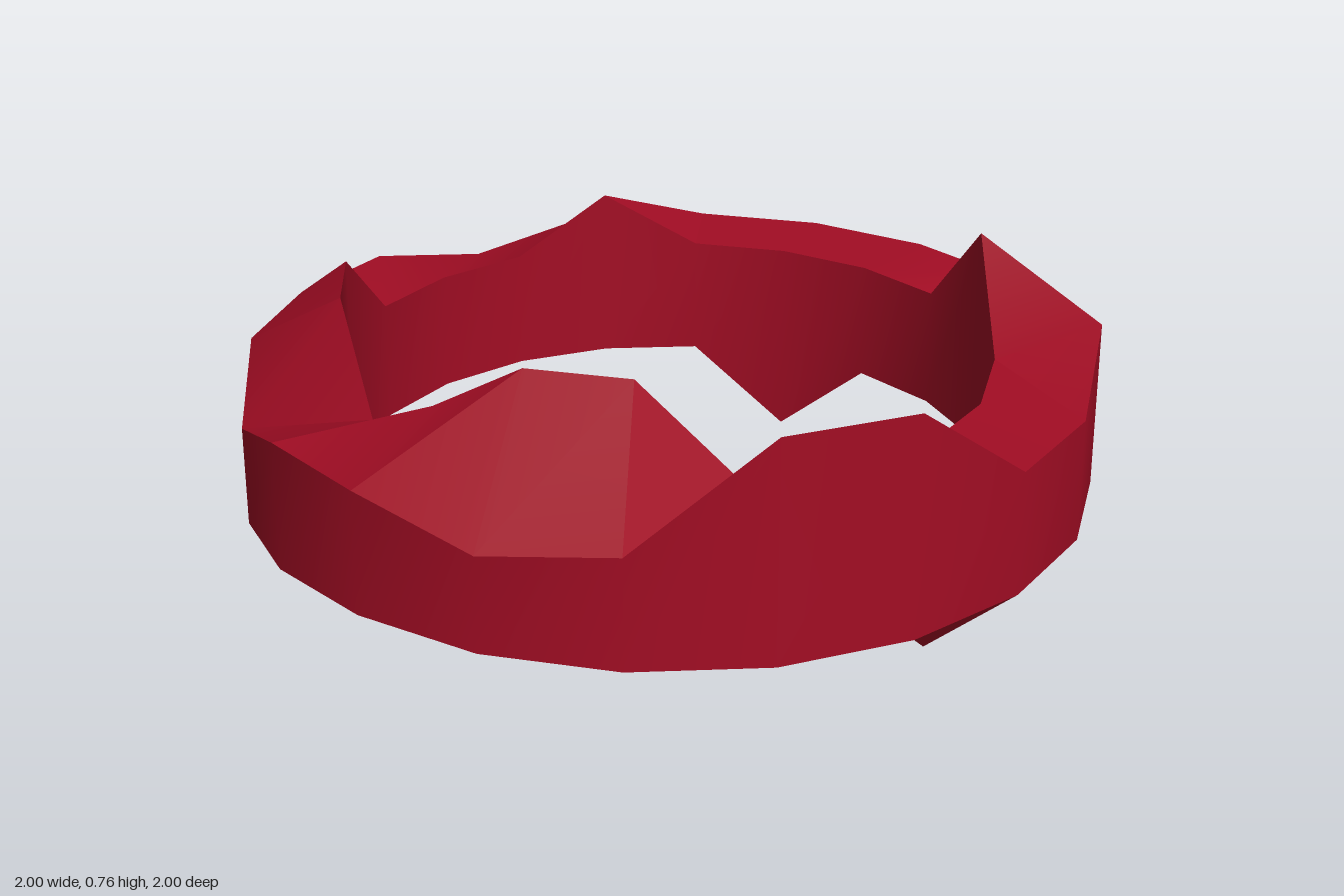
import * as THREE from 'three';
import { toCreasedNormals } from 'three/addons/utils/BufferGeometryUtils.js';

const SIDES = 20;
const OUTER = 1, INNER = 0.76;
const TOP = 0.507, BOTTOM = 0.215;

// Heights that differ from the plain band; index 0 is the front, 5 is +x, 10 the back.
const outerTop = { 0: 0.475, 1: 0.73, 2: 0.73, 5: 0.615, 6: 0.375, 12: 0.44, 16: 0.41, 19: 0.44 };
const innerTop = { 0: 0.76, 5: 0.52, 6: 0.745, 11: 0.645, 15: 0.71, 16: 0.71, 18: 0.62, 19: 0.76 };
const innerBottom = { 0: 0.11, 3: 0, 4: 0, 9: 0.02 };
const outerBottom = { 13: 0.2, 14: 0.18, 15: 0.08, 16: 0.17, 17: 0.2 };

// Four-cornered cross-sections swept round the ring, each corner with its own height.
function jaggedRing() {
  const corners = [
    [OUTER, BOTTOM, outerBottom],
    [OUTER, TOP, outerTop],
    [INNER, TOP, innerTop],
    [INNER, BOTTOM, innerBottom],
  ];
  const positions = [];
  const index = [];
  for (let k = 0; k < SIDES; k++) {
    const angle = (k / SIDES) * Math.PI * 2;
    for (const [radius, base, changes] of corners) {
      positions.push(radius * Math.sin(angle), changes[k] ?? base, radius * Math.cos(angle));
    }
    const next = (k + 1) % SIDES;
    for (let c = 0; c < 4; c++) {
      const d = (c + 1) % 4;
      const [p, q, r, s] = [k * 4 + c, next * 4 + c, next * 4 + d, k * 4 + d];
      index.push(p, q, r, p, r, s);
    }
  }
  const geometry = new THREE.BufferGeometry();
  geometry.setAttribute('position', new THREE.Float32BufferAttribute(positions, 3));
  geometry.setIndex(index);
  return toCreasedNormals(geometry, THREE.MathUtils.degToRad(30));
}

export function createModel() {
  const group = new THREE.Group();
  group.name = 'jaggedBand';

  const crimson = new THREE.MeshStandardMaterial({ color: 0xa30d24 });
  crimson.name = 'crimson';

  const ring = new THREE.Mesh(jaggedRing(), crimson);
  ring.name = 'ring';
  group.add(ring);
  return group;
}
